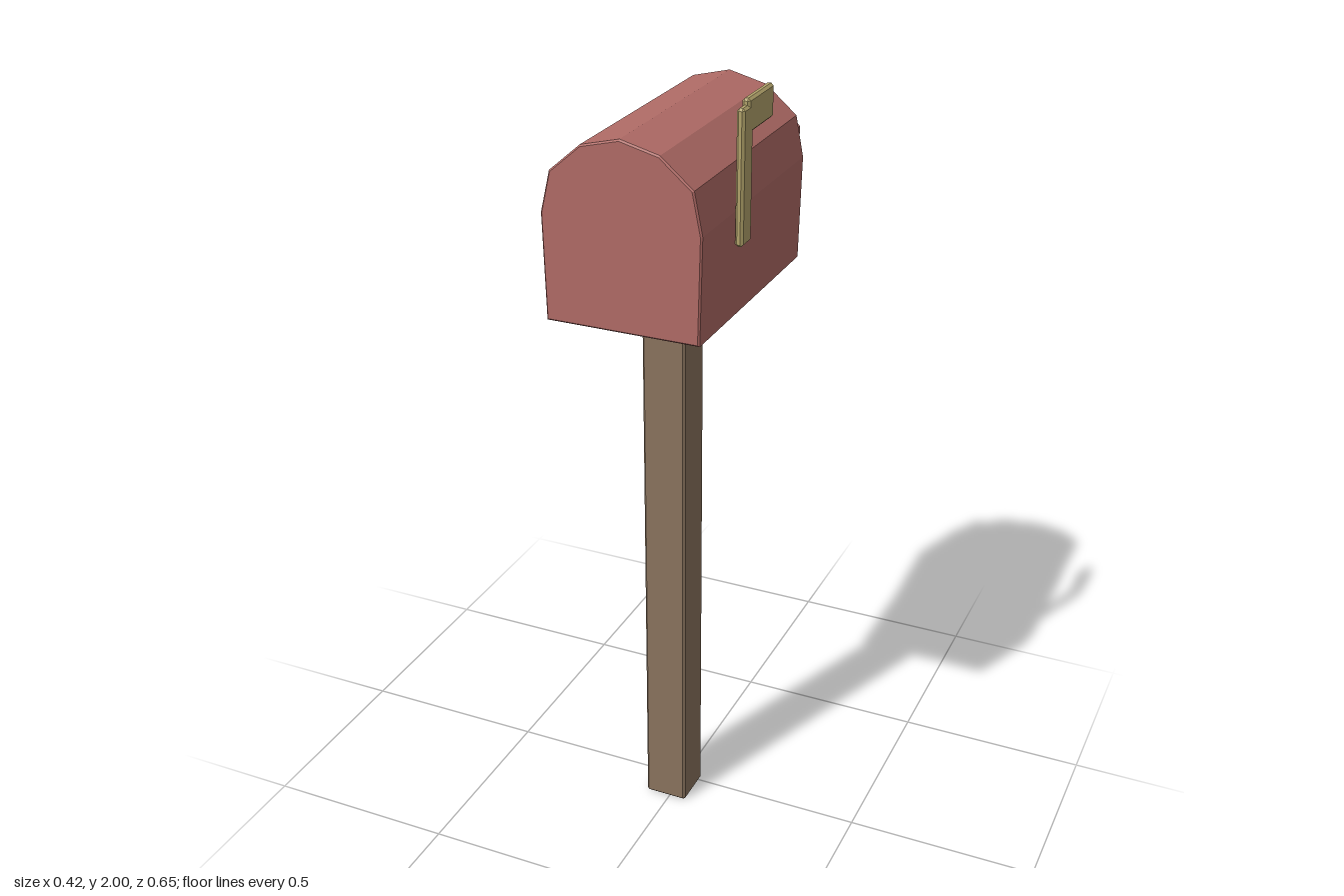
import * as THREE from 'three';
import { ConvexGeometry } from 'three/addons/geometries/ConvexGeometry.js';

const mat = (name, color) => {
  const m = new THREE.MeshStandardMaterial({ color });
  m.name = name;
  m.flatShading = true;
  return m;
};

// Box between two corners with chamfered edges
function chamferBox(name, material, [x0, y0, z0], [x1, y1, z1], c) {
  const half = [(x1 - x0) / 2, (y1 - y0) / 2, (z1 - z0) / 2];
  const points = [];
  for (const sx of [-1, 1]) for (const sy of [-1, 1]) for (const sz of [-1, 1]) {
    for (let axis = 0; axis < 3; axis++) {
      const p = half.map((h, i) => (i === axis ? h : h - c));
      points.push(new THREE.Vector3(sx * p[0], sy * p[1], sz * p[2]));
    }
  }
  const mesh = new THREE.Mesh(new ConvexGeometry(points), material);
  mesh.position.set((x0 + x1) / 2, (y0 + y1) / 2, (z0 + z1) / 2);
  mesh.name = name;
  return mesh;
}

export function createModel() {
  const group = new THREE.Group();
  group.name = 'mailbox';
  const red = mat('faded red', 0xb06b66);
  const wood = mat('post brown', 0x8a745e);
  const yellow = mat('flag yellow', 0xb3a46c);

  // Square post
  group.add(chamferBox('post', wood, [-0.067, 0, -0.015], [0.047, 1.49, 0.1], 0.006));

  // Faceted barrel-topped box
  const bevel = 0.004;
  const profile = [
    [-0.2, 1.488], [0.178, 1.488], [0.184, 1.745], [0.164, 1.845], [0.085, 1.912],
    [-0.01, 1.936], [-0.105, 1.912], [-0.182, 1.845], [-0.206, 1.745],
  ].map(([x, y]) => new THREE.Vector2(x, y));
  const bodyGeo = new THREE.ExtrudeGeometry(new THREE.Shape(profile), {
    depth: 0.622 - 2 * bevel, steps: 2,
    bevelEnabled: true, bevelThickness: bevel, bevelSize: bevel, bevelSegments: 1,
  });
  bodyGeo.translate(0, 0, -0.3 + bevel);
  // Slight waist halfway along the left-hand wall
  const pos = bodyGeo.attributes.position;
  for (let i = 0; i < pos.count; i++) {
    if (Math.abs(pos.getZ(i) - 0.011) < 0.05 && pos.getX(i) < -0.19) pos.setX(i, pos.getX(i) + 0.007);
  }
  bodyGeo.computeVertexNormals();
  const body = new THREE.Mesh(bodyGeo, red);
  body.name = 'box';
  group.add(body);

  // Door plate on the rear end
  group.add(chamferBox('door', red, [-0.189, 1.47, -0.325], [0.169, 1.82, -0.296], 0.006));

  // Signal flag: upright arm and pennant
  group.add(chamferBox('flagArm', yellow, [0.19, 1.663, 0.089], [0.21, 1.985, 0.144], 0.006));
  group.add(chamferBox('flagPennant', yellow, [0.19, 1.92, -0.034], [0.21, 2.0, 0.113], 0.006));

  return group;
}
